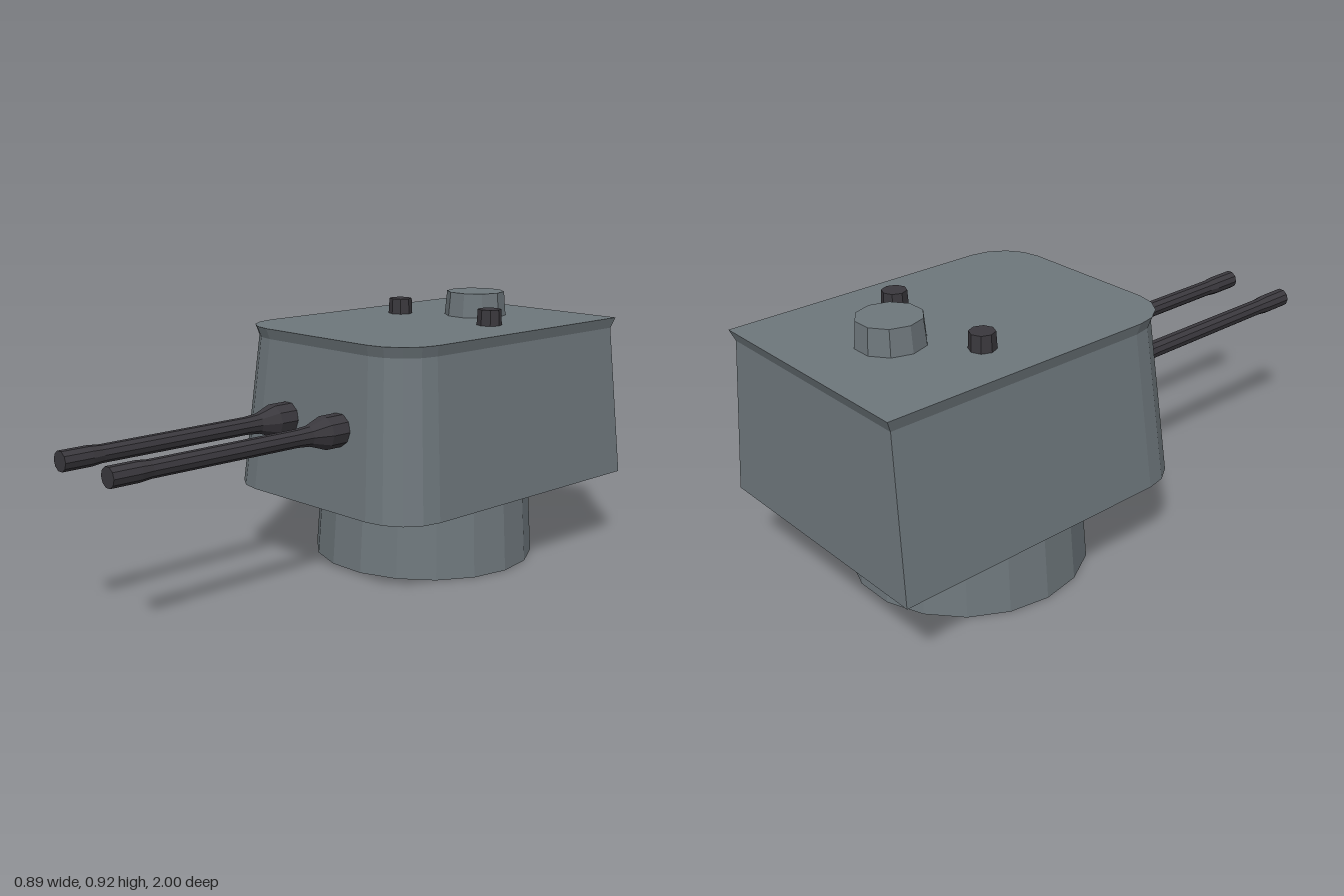
import * as THREE from 'three';

const grey = new THREE.MeshStandardMaterial({ color: 0x6e777c, flatShading: true });
grey.name = 'hull grey';
const dark = new THREE.MeshStandardMaterial({ color: 0x3a383d, flatShading: true });
dark.name = 'gunmetal';

function part(parent, name, geometry, material, x, y, z) {
  const mesh = new THREE.Mesh(geometry, material);
  mesh.name = name;
  mesh.position.set(x, y, z);
  parent.add(mesh);
  return mesh;
}

// Plan outline of the housing: square back corners, rounded front corners
function outline({ y, half, back, front, radius }) {
  const steps = 4;
  const ring = [new THREE.Vector3(-half, y, back)];
  for (const side of [-1, 1]) {
    for (let i = 0; i <= steps; i++) {
      const t = i / steps * Math.PI / 2;
      const a = side < 0 ? t - Math.PI / 2 : t;
      ring.push(new THREE.Vector3(
        side * (half - radius) + radius * Math.sin(a), y,
        front - radius + radius * Math.cos(a)));
    }
  }
  ring.push(new THREE.Vector3(half, y, back));
  return ring;
}

// Skin a stack of outlines and close both ends
function loft(rings) {
  const points = [];
  const n = rings[0].length;
  for (let r = 0; r < rings.length - 1; r++) {
    for (let i = 0; i < n; i++) {
      const j = (i + 1) % n;
      const [a, b, c, d] = [rings[r][i], rings[r][j], rings[r + 1][j], rings[r + 1][i]];
      points.push(a, b, c, a, c, d);
    }
  }
  const bottom = rings[0], top = rings[rings.length - 1];
  for (let i = 1; i < n - 1; i++) {
    points.push(top[0], top[i], top[i + 1], bottom[0], bottom[i + 1], bottom[i]);
  }
  const geometry = new THREE.BufferGeometry().setFromPoints(points);
  geometry.computeVertexNormals();
  return geometry;
}

export function createModel() {
  const model = new THREE.Group();
  model.name = 'gunTurret';

  // Tapered pedestal
  const pedestal = new THREE.CylinderGeometry(0.375, 0.393, 0.27, 18);
  pedestal.rotateY(Math.PI / 18);
  part(model, 'pedestal', pedestal, grey, 0, 0.135, -0.428);

  // Sloped housing with a flared lip around the roof
  const housing = loft([
    { y: 0.266, half: 0.447, back: -1.0, front: 0.14, radius: 0.17 },
    { y: 0.795, half: 0.395, back: -0.98, front: 0.095, radius: 0.155 },
    { y: 0.832, half: 0.405, back: -0.995, front: 0.107, radius: 0.16 },
  ].map(outline));
  part(model, 'housing', housing, grey, 0, 0, 0);

  // Roof hatch
  const hatch = new THREE.CylinderGeometry(0.104, 0.112, 0.09, 10);
  hatch.rotateY(Math.PI / 10);
  part(model, 'hatch', hatch, grey, 0, 0.873, -0.69);

  // Gun barrel with a thick collar and a slightly flared muzzle
  const profile = [
    [0.056, 0.08], [0.056, 0.185], [0.034, 0.25], [0.03, 0.3],
    [0.029, 0.86], [0.033, 0.9], [0.033, 1.0], [0, 1.0],
  ].map(([r, z]) => new THREE.Vector2(r, z));
  const barrel = new THREE.LatheGeometry(profile, 10, Math.PI / 2);
  barrel.rotateX(Math.PI / 2);

  // Barrels and roof periscopes, mirrored left and right
  const periscope = new THREE.CylinderGeometry(0.041, 0.044, 0.06, 8);
  for (const [side, name] of [[1, 'left'], [-1, 'right']]) {
    part(model, name + 'Barrel', barrel, dark, side * 0.126, 0.541, 0);
    part(model, name + 'Periscope', periscope, dark, side * 0.215, 0.857, -0.518);
  }
  return model;
}
